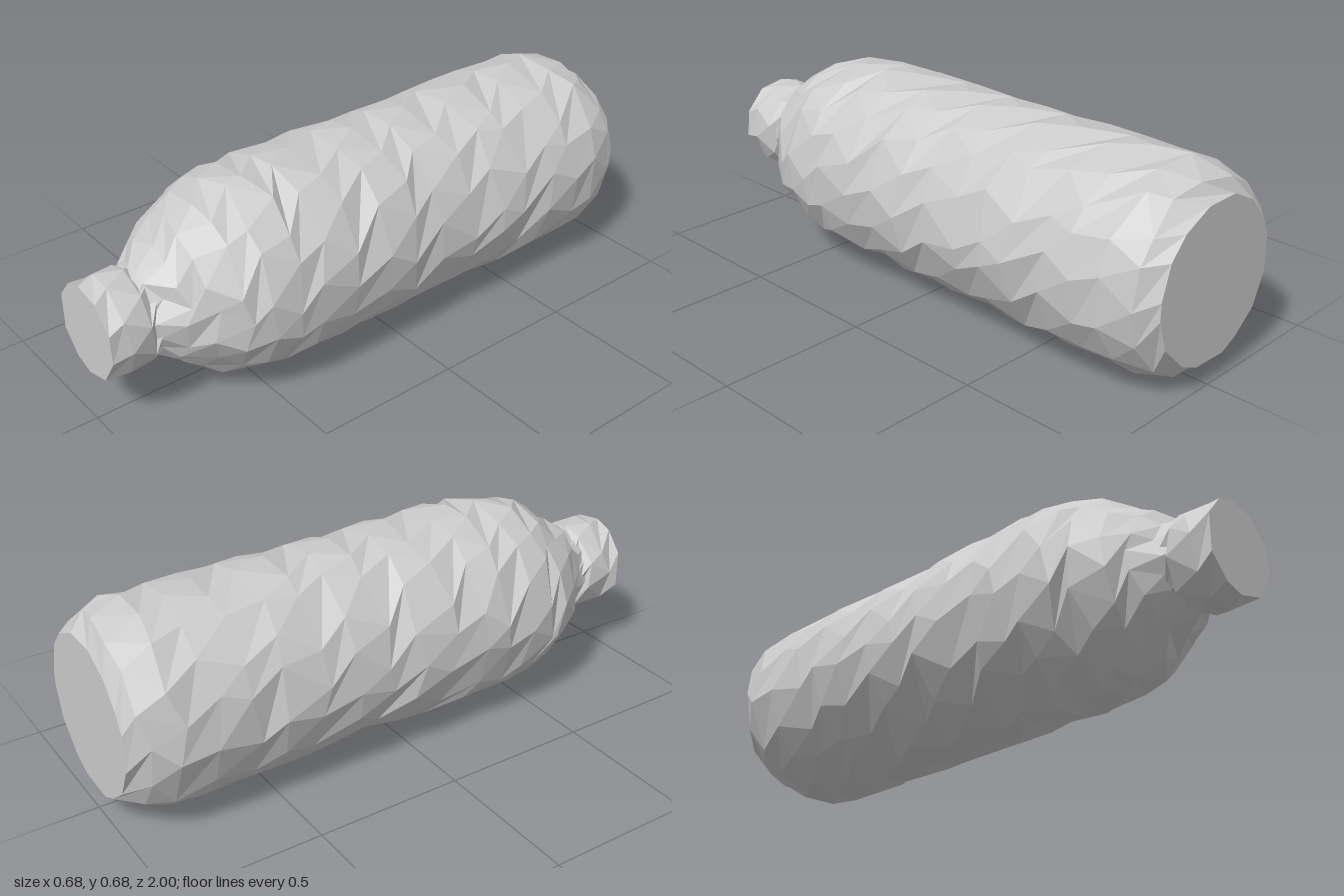
import * as THREE from 'three';

const SIDES = 16;
const AXIS_Y = 0.336;

// repeatable noise in -1..1 for a ring and side index
function noise(a, b) {
  const s = Math.sin(a * 127.1 + b * 311.7 + 5.3) * 43758.5453;
  return (s - Math.floor(s)) * 2 - 1;
}

// shallow creases pressed into the wall: x, y, z, depth
const dents = [
  [0.3, 0.2, -0.2, 0.02],
  [-0.22, 0.59, -0.14, 0.03],
  [0.1, 0.65, 0.28, 0.02],
];

// Faceted solid of revolution along z; profile rows are [z, radius], back to front
function facetedLathe(profile, sides, wobble, material) {
  const points = profile.map(([z, r]) => new THREE.Vector2(r, z));
  const geo = new THREE.LatheGeometry(points, sides);
  geo.rotateX(Math.PI / 2);
  const pos = geo.attributes.position;
  const last = profile.length - 1;
  for (let k = 0; k < pos.count; k++) {
    const row = k % profile.length;
    const side = Math.floor(k / profile.length) % sides;
    const [z, r] = profile[row];
    if (r === 0) continue;
    const step = (Math.PI * 2) / sides;
    // alternate rows are staggered so the facets become irregular triangles
    const angle = (side + (row % 2) * 0.5 + noise(row, side) * wobble * 0.25) * step;
    const flatEnd = row <= 1 || row >= last - 1;
    const zz = flatEnd ? z : z + noise(side, row + 40) * 0.022 * wobble;
    let rr = r * (1 + noise(row + 9, side + 3) * 0.013 * wobble);
    for (const [dx, dy, dz, depth] of dents) {
      const d = Math.hypot(rr * Math.sin(angle) - dx, AXIS_Y + rr * Math.cos(angle) - dy, zz - dz);
      rr -= depth * Math.max(0, 1 - d / 0.14);
    }
    pos.setXYZ(k, rr * Math.sin(angle), -rr * Math.cos(angle), zz);
  }
  geo.computeVertexNormals();
  return new THREE.Mesh(geo, material);
}

export function createModel() {
  const group = new THREE.Group();
  group.name = 'bottle';
  const material = new THREE.MeshStandardMaterial({ color: 0xcccccc, flatShading: true });

  // body: flat base, straight wall with a faint waist, rounded shoulder, neck
  const profile = [[-1, 0], [-1, 0.262], [-0.95, 0.305], [-0.85, 0.336]];
  for (let z = -0.73; z < 0.4; z += 0.12) {
    profile.push([z, 0.338 - 0.006 * Math.exp(-(((z + 0.15) / 0.15) ** 2))]);
  }
  profile.push([0.44, 0.334], [0.53, 0.322], [0.61, 0.298], [0.69, 0.25],
    [0.76, 0.195], [0.82, 0.145], [0.88, 0.125], [0.88, 0]);
  const body = facetedLathe(profile, SIDES, 1, material);
  body.name = 'body';
  body.position.y = AXIS_Y;

  // screw cap on the neck
  const cap = facetedLathe(
    [[0.815, 0], [0.815, 0.142], [0.85, 0.157], [0.93, 0.162], [1, 0.154], [1, 0]],
    10, 0.8, material);
  cap.name = 'cap';
  cap.position.set(0.003, 0.326, 0);

  group.add(body, cap);
  return group;
}
